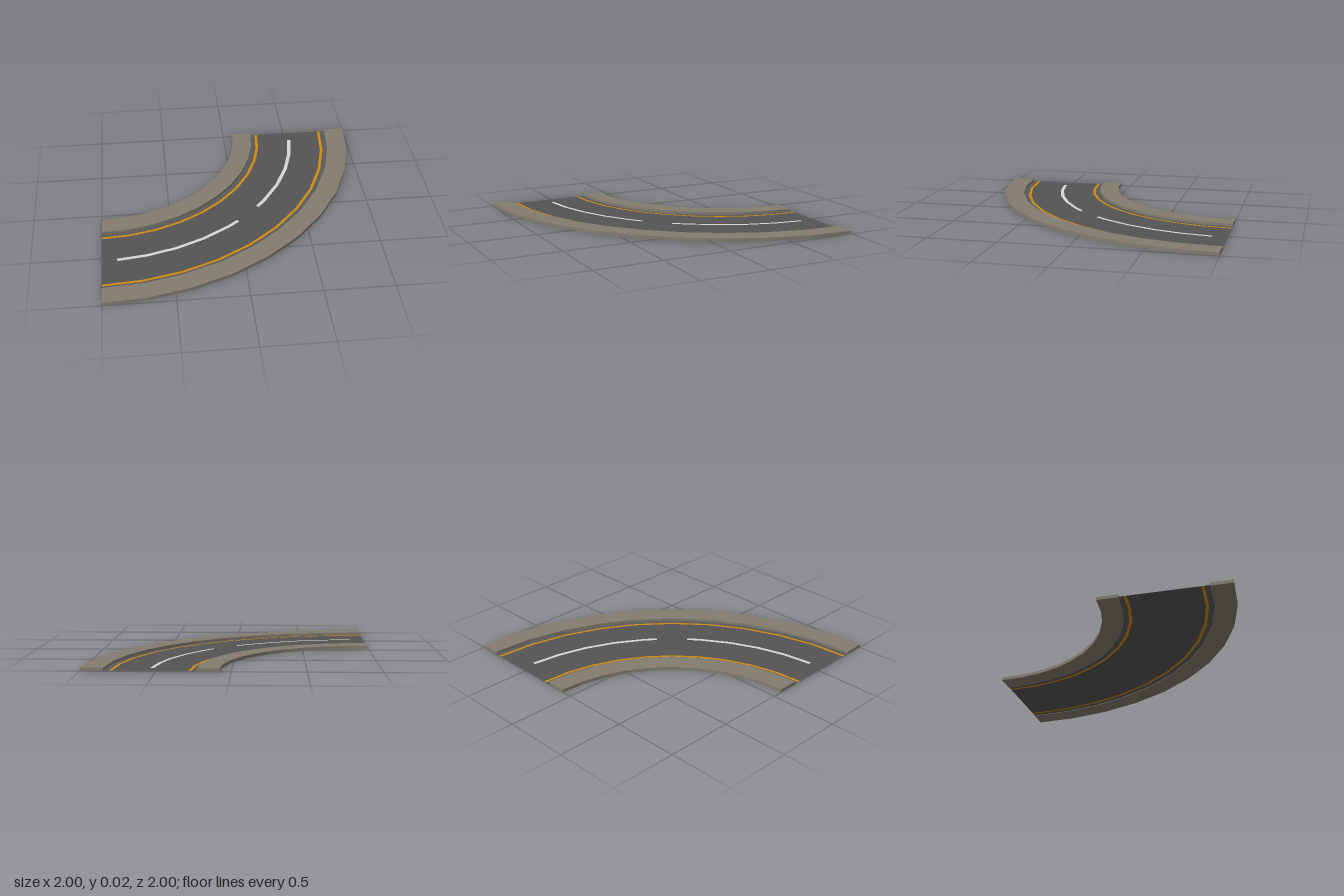
import * as THREE from 'three';

const CX = -1, CZ = -1;          // centre of the bend
const ROAD_Y = 0.004, KERB_Y = 0.023;
const bend = Array.from({ length: 11 }, (_, i) => i * 9);

// Sweeps a section of [radius, height] points around the bend (angles in degrees).
function sweep(section, angles, closed) {
  const pos = [];
  const point = ([r, y], deg) => {
    const a = THREE.MathUtils.degToRad(deg);
    return [CX + r * Math.cos(a), y, CZ + r * Math.sin(a)];
  };
  const quad = (a, b, c, d) => pos.push(...a, ...b, ...c, ...a, ...c, ...d);
  const sides = closed ? section.length : section.length - 1;
  for (let i = 0; i < angles.length - 1; i++) {
    for (let j = 0; j < sides; j++) {
      const p = section[j], q = section[(j + 1) % section.length];
      quad(point(p, angles[i]), point(p, angles[i + 1]), point(q, angles[i + 1]), point(q, angles[i]));
    }
  }
  if (closed) {
    quad(...section.map(p => point(p, angles[0])));
    quad(...section.map(p => point(p, angles.at(-1))).reverse());
  }
  const geo = new THREE.BufferGeometry();
  geo.setAttribute('position', new THREE.Float32BufferAttribute(pos, 3));
  geo.computeVertexNormals();
  return geo;
}

function material(name, color, side = THREE.FrontSide) {
  const m = new THREE.MeshStandardMaterial({ color, side });
  m.name = name;
  return m;
}

export function createModel() {
  const group = new THREE.Group();
  group.name = 'curvedRoad';
  const asphalt = material('asphalt', 0x545454, THREE.DoubleSide);
  const gutter = material('gutter grey', 0x5a5a5a, THREE.DoubleSide);
  const yellow = material('line yellow', 0xd08b10, THREE.DoubleSide);
  const white = material('line white', 0xd6d6d6);
  const stone = material('pavement stone', 0x837d70);

  const add = (name, geo, mat) => {
    const mesh = new THREE.Mesh(geo, mat);
    mesh.name = name;
    group.add(mesh);
  };
  const strip = (name, r0, r1, mat, y = ROAD_Y, angles = bend) =>
    add(name, sweep([[r0, y], [r1, y]], angles, false), mat);
  const kerb = (name, r0, r1) =>
    add(name, sweep([[r0, 0], [r0, KERB_Y], [r1, KERB_Y], [r1, 0]], bend, true), stone);

  // Raised pavements
  kerb('innerPavement', 1.075, 1.225);
  kerb('outerPavement', 1.845, 2);

  // Road surface, side by side strips
  strip('innerGutter', 1.225, 1.262, gutter);
  strip('innerLine', 1.262, 1.283, yellow);
  strip('roadSurface', 1.283, 1.787, asphalt);
  strip('outerLine', 1.787, 1.808, yellow);
  strip('outerGutter', 1.808, 1.845, gutter);

  // Two centre dashes, mirrored about the middle of the bend
  const dash = [4, 12, 20, 28.5, 37, 40.7];
  const mirrored = dash.map(a => 90 - a).reverse();
  strip('firstDash', 1.523, 1.55, white, ROAD_Y + 0.002, dash);
  strip('secondDash', 1.523, 1.55, white, ROAD_Y + 0.002, mirrored);
  return group;
}
